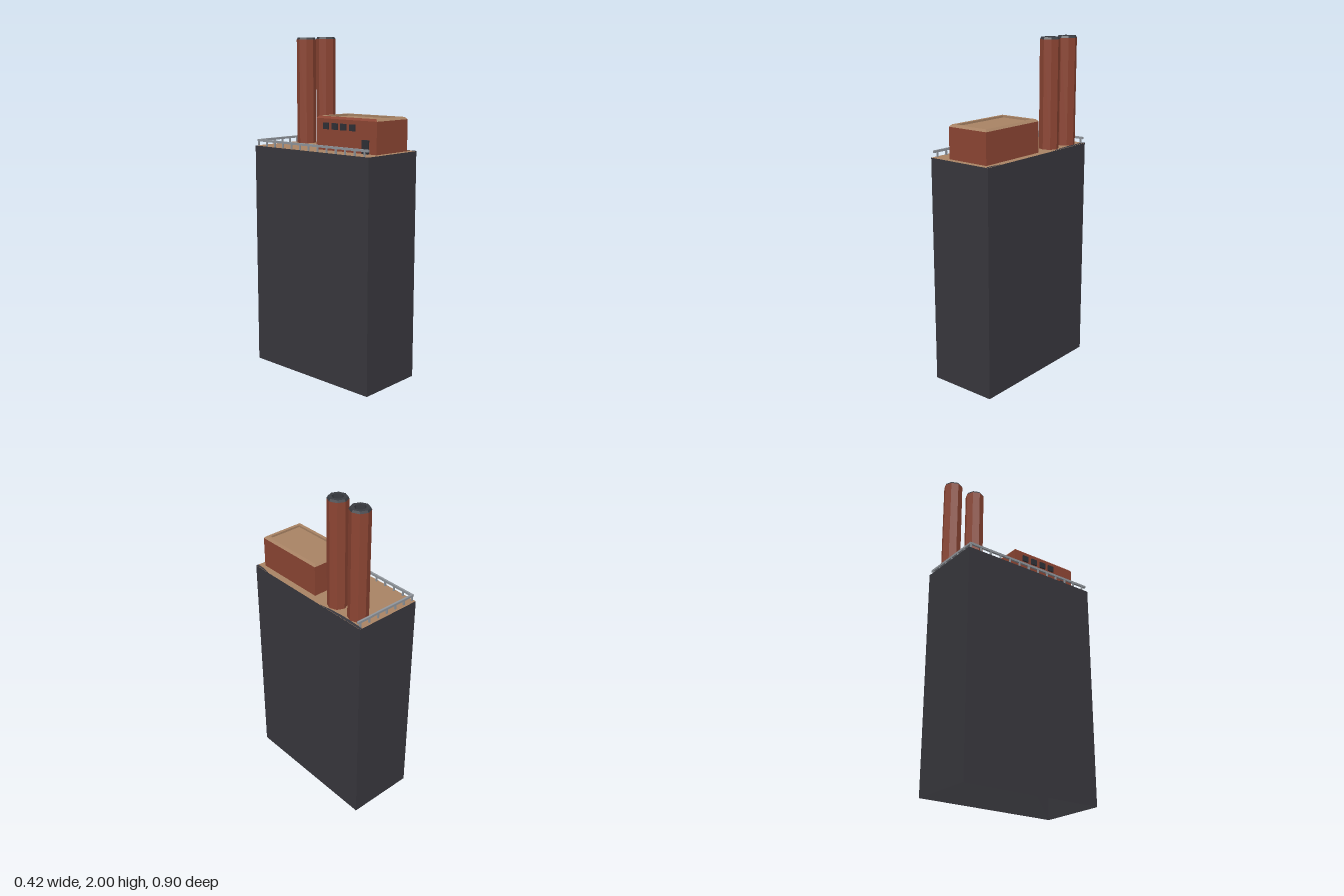
import * as THREE from 'three';

const make = (name, color, side = THREE.FrontSide) => {
  const m = new THREE.MeshStandardMaterial({ color, side });
  m.name = name;
  return m;
};

// Rectangle loop at height y, corners anticlockwise from above: front, right, back, left edges
const rect = (x0, x1, z0, z1, y) => [[x0, y, z1], [x1, y, z1], [x1, y, z0], [x0, y, z0]];

// Quads joining each loop to the next, only along the chosen edges
function bands(loops, edges = [0, 1, 2, 3]) {
  const p = [];
  for (let k = 0; k + 1 < loops.length; k++) {
    const a = loops[k], b = loops[k + 1];
    for (const i of edges) {
      const j = (i + 1) % 4;
      p.push(...a[i], ...a[j], ...b[j], ...a[i], ...b[j], ...b[i]);
    }
  }
  const g = new THREE.BufferGeometry();
  g.setAttribute('position', new THREE.Float32BufferAttribute(p, 3));
  g.computeVertexNormals();
  return g;
}

// Flat upward panel filling a loop
function panel(l) {
  const g = new THREE.BufferGeometry();
  g.setAttribute('position', new THREE.Float32BufferAttribute(
    [...l[0], ...l[1], ...l[2], ...l[0], ...l[2], ...l[3]], 3));
  g.computeVertexNormals();
  return g;
}

function facetedLathe(points) {
  const g = new THREE.LatheGeometry(points.map(([r, y]) => new THREE.Vector2(r, y)), 8).toNonIndexed();
  g.computeVertexNormals();
  return g;
}

export function createModel() {
  const model = new THREE.Group();
  model.name = 'industrialBlock';
  const dark = make('darkCladding', 0x38373d, THREE.DoubleSide);
  const tan = make('tanRoof', 0xa88364, THREE.DoubleSide);
  const brick = make('redBrick', 0x8c4533);
  const soot = make('sootCap', 0x393b41);
  const metal = make('railMetal', 0x90959b);
  const glass = make('darkOpening', 0x2e3036);

  const add = (parent, name, geo, mat, x = 0, y = 0, z = 0) => {
    const m = new THREE.Mesh(geo, mat);
    m.name = name;
    m.position.set(x, y, z);
    parent.add(m);
    return m;
  };
  const group = (name) => {
    const g = new THREE.Group();
    g.name = name;
    model.add(g);
    return g;
  };
  const box = (w, h, d) => new THREE.BoxGeometry(w, h, d);

  // Tall tower, open underneath, with its deck
  const X = 0.21, Z = 0.449, D = 1.355;
  add(model, 'towerWalls', bands([rect(-X, X, -Z, Z, 0), rect(-X, X, -Z, Z, D)]), dark);
  add(model, 'deck', panel(rect(-X, X, -Z, Z, D)), tan);

  // Dark tapering wall-top strips along the right edge of the deck
  const strips = [
    [[X, -Z], [0.194, -Z], [0.19, -0.3], [0.197, -0.2], [X, -0.12]],
    [[X, Z], [0.195, Z], [0.197, 0.39], [X, 0.33]],
  ];
  for (const s of strips) {
    const g = new THREE.ShapeGeometry(new THREE.Shape(s.map(([x, z]) => new THREE.Vector2(x, z))));
    add(model, 'wallTopStrip', g.rotateX(Math.PI / 2), dark, 0, D + 0.0015, 0);
  }

  // Rooftop house: walls, bevelled rim and sunken roof panel
  const house = group('rooftopHouse');
  const eave = rect(-0.102, 0.169, -0.039, 0.414, 1.537);
  const rimOuter = rect(-0.09, 0.157, -0.028, 0.402, 1.55);
  const rimInner = rect(-0.071, 0.14, -0.009, 0.384, 1.55);
  const sunken = rect(-0.071, 0.14, -0.009, 0.384, 1.538);
  add(house, 'houseWalls', bands([rect(-0.102, 0.169, -0.039, 0.414, D), eave]), brick);
  add(house, 'leftRoofBevel', bands([eave, rimOuter], [3]), brick);
  add(house, 'roofBevel', bands([eave, rimOuter], [0, 1, 2]), tan);
  add(house, 'roofRim', bands([rimOuter, rimInner, sunken]), tan);
  add(house, 'roofPanel', panel(sunken), tan);

  // Windows and door on the house's long wall
  for (let i = 0; i < 4; i++)
    add(house, 'window', box(0.009, 0.037, 0.041), glass, -0.1065, 1.495, 0.04 + i * 0.0667);
  add(house, 'door', box(0.012, 0.078, 0.046), glass, -0.108, D + 0.039, 0.338);

  // Two octagonal chimneys with dark caps and hollow tops
  for (const z of [-0.351, -0.186]) {
    const chimney = group('chimney');
    chimney.position.set(0.133, 0, z);
    add(chimney, 'stack', facetedLathe([[0.0585, D], [0.0585, 1.988]]), brick);
    add(chimney, 'cap', facetedLathe([[0.0585, 1.988], [0.052, 2], [0.032, 2], [0.032, 1.95]]), soot);
    add(chimney, 'flueBottom', new THREE.CircleGeometry(0.032, 8).rotateX(-Math.PI / 2), brick, 0, 1.95, 0);
  }

  // Railing along the left and back edges
  const railing = group('railing');
  const railY = 1.388, postH = railY - D;
  add(railing, 'leftRail', box(0.012, 0.013, 0.876), metal, -0.199, railY, 0.002);
  add(railing, 'backRail', box(0.415, 0.013, 0.012), metal, 0.0025, railY, -0.43);
  const post = box(0.009, postH, 0.009);
  for (let i = 0; i < 13; i++)
    add(railing, 'leftPost', post, metal, -0.199, D + postH / 2, -0.43 + i * 0.07);
  for (let i = 1; i < 7; i++)
    add(railing, 'backPost', post, metal, -0.199 + i * 0.065, D + postH / 2, -0.43);

  return model;
}
